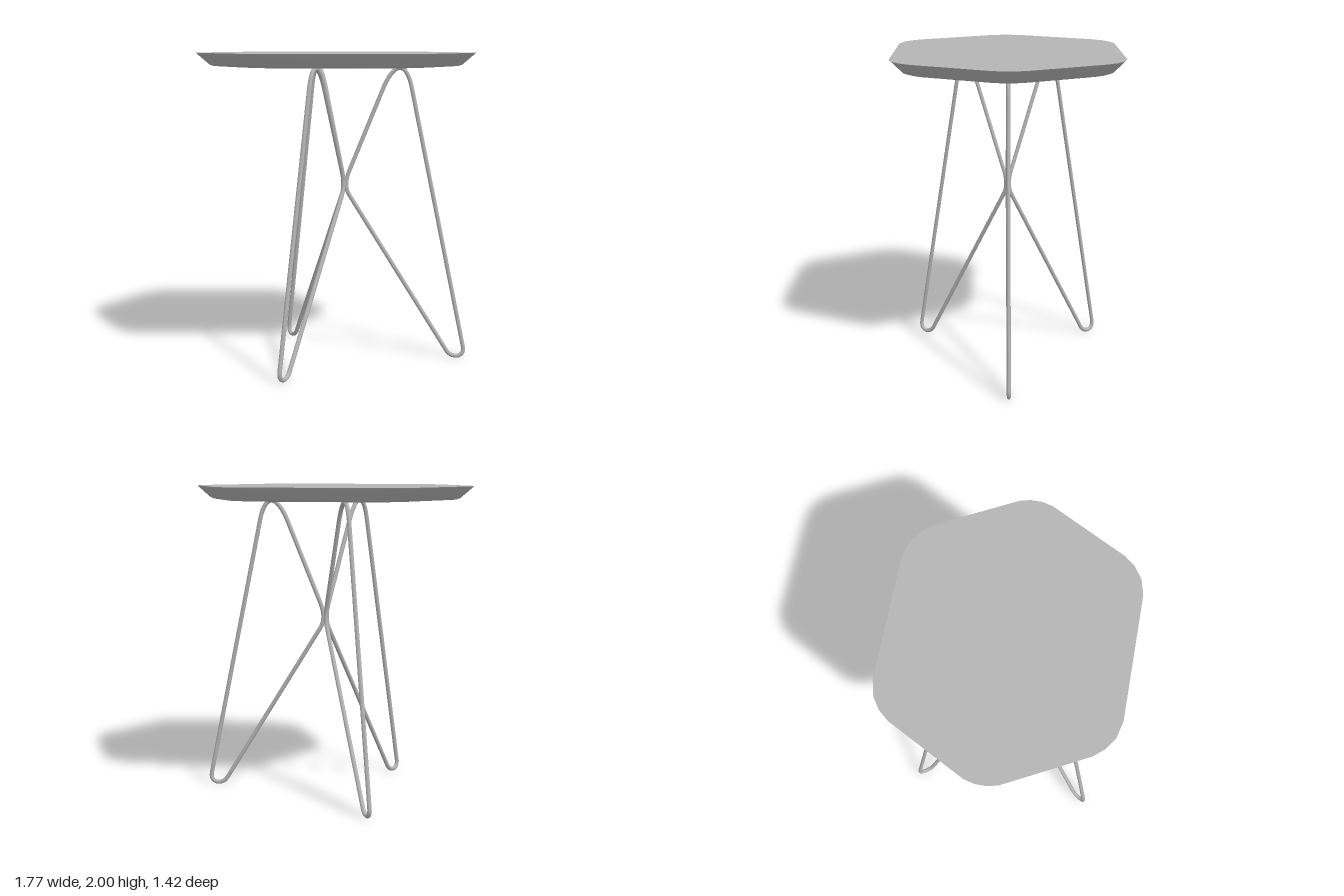
import * as THREE from 'three';

const grey = new THREE.MeshStandardMaterial({ color: 0xb4b4b4 });
grey.name = 'grey';

// Rounded hexagon outline, one quarter mirrored into a full loop of [x, z]
function hexOutline() {
  const q = [[0.887, 0.035], [0.87, 0.1], [0.62, 0.57], [0.565, 0.635], [0.49, 0.685], [0.39, 0.709]];
  const back = [...q].reverse();
  return [
    ...q,
    ...back.map(([x, z]) => [-x, z]),
    ...q.map(([x, z]) => [-x, -z]),
    ...back.map(([x, z]) => [x, -z]),
  ];
}

// Underside: shrinking rings of the outline, closed by a centre point
function undersideGeometry(outline) {
  const rings = [[1, 2], [0.995, 1.994], [0.905, 1.925], [0.88, 1.917], [0.8, 1.914]];
  const n = outline.length, pos = [], index = [];
  for (const [s, y] of rings) for (const [x, z] of outline) pos.push(x * s, y, z * s);
  for (let r = 0; r < rings.length - 1; r++) {
    for (let i = 0; i < n; i++) {
      const a = r * n + i, b = r * n + (i + 1) % n;
      index.push(a, b, a + n, b, b + n, a + n);
    }
  }
  const last = (rings.length - 1) * n, centre = rings.length * n;
  pos.push(0, 1.914, 0);
  for (let i = 0; i < n; i++) index.push(last + i, last + (i + 1) % n, centre);
  const g = new THREE.BufferGeometry();
  g.setAttribute('position', new THREE.Float32BufferAttribute(pos, 3));
  g.setIndex(index);
  g.computeVertexNormals();
  return g;
}

// Closed hairpin wire loop in the x-y plane: straight runs joined by bends
function hairpinGeometry() {
  const bends = [
    [[0.03, 1.24], [0.006, 1.18], [0.008, 1.13], [0.03, 1.09]],   // waist
    [[0.675, 0.05], [0.705, 0], [0.795, 0], [0.785, 0.07]],       // foot
    [[0.43, 1.78], [0.4, 1.925], [0.33, 1.965], [0.25, 1.78]],    // top
  ].map(b => b.map(([x, y]) => new THREE.Vector3(x, y, 0)));
  const path = new THREE.CurvePath();
  bends.forEach((b, i) => {
    path.add(new THREE.CubicBezierCurve3(...b));
    path.add(new THREE.LineCurve3(b[3], bends[(i + 1) % 3][0]));
  });
  return new THREE.TubeGeometry(path, 200, 0.014, 10, true);
}

export function createModel() {
  const table = new THREE.Group();
  table.name = 'sideTable';

  // Table top: flat face plus bevelled underside
  const outline = hexOutline();
  const top = new THREE.Group();
  top.name = 'tableTop';
  const shape = new THREE.Shape(outline.map(([x, z]) => new THREE.Vector2(x, -z)));
  const face = new THREE.Mesh(new THREE.ShapeGeometry(shape).rotateX(-Math.PI / 2), grey);
  face.position.y = 2;
  face.name = 'topFace';
  const under = new THREE.Mesh(undersideGeometry(outline), grey);
  under.name = 'bevelledUnderside';
  top.add(face, under);
  table.add(top);

  // Three wire legs meeting at the waist, slightly narrowed front to back
  const legs = new THREE.Group();
  legs.name = 'legs';
  legs.position.x = 0.055;
  legs.scale.z = 0.874;
  const wire = hairpinGeometry();
  for (let i = 0; i < 3; i++) {
    const leg = new THREE.Mesh(wire, grey);
    leg.name = 'hairpinLeg' + (i + 1);
    leg.rotation.y = i * Math.PI * 2 / 3;
    legs.add(leg);
  }
  table.add(legs);
  return table;
}
